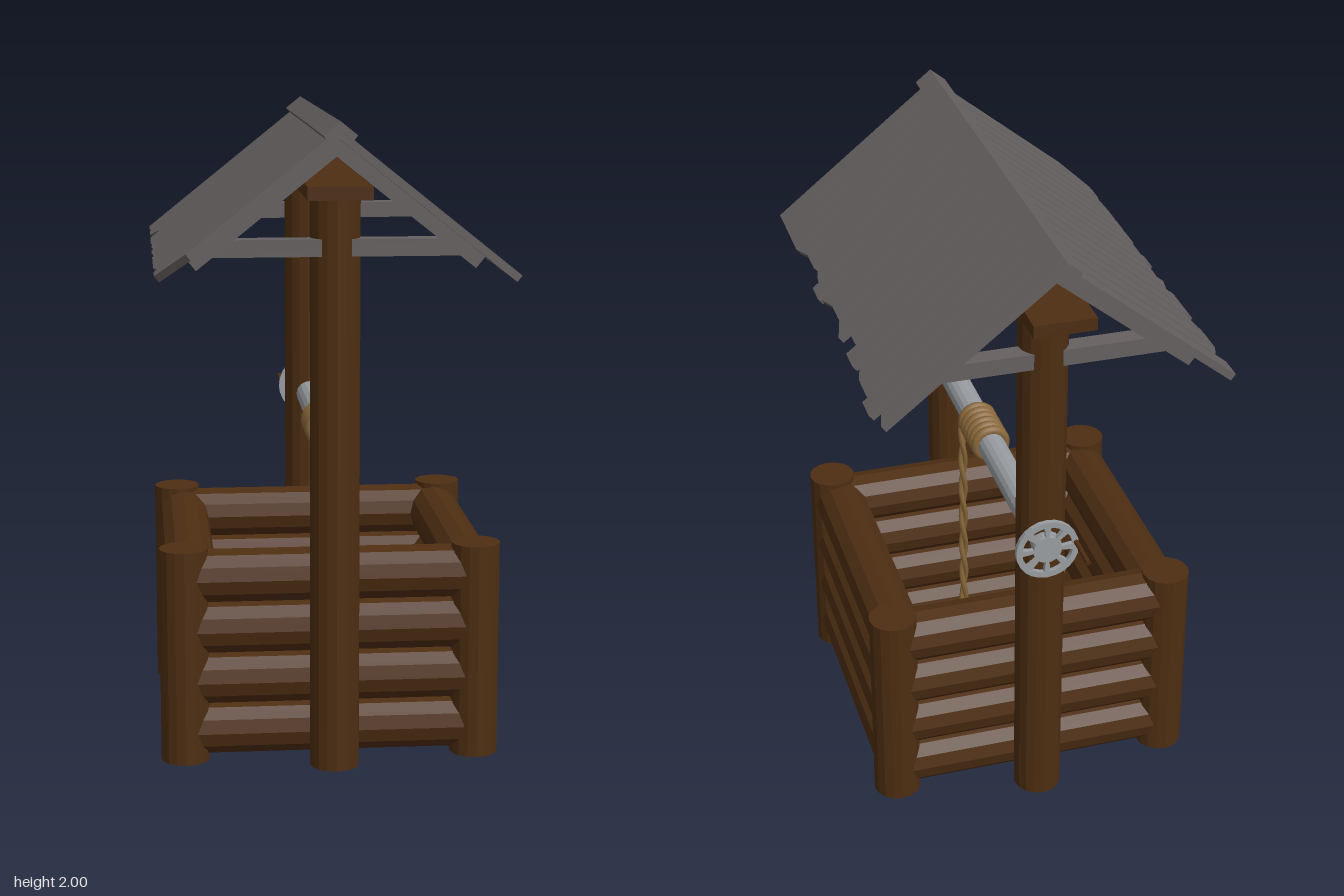
import * as THREE from 'three';

const mat = (color, flat = true) => new THREE.MeshStandardMaterial({ color, flatShading: flat });
const wood = mat(0x4e2e12), slate = mat(0x666160), metal = mat(0x9a9ea2), rope = mat(0x8a683a, false);
const CX = -0.005; // centre line of the well

export function createModel() {
  const root = new THREE.Group();

  const add = (parent, name, geometry, material, x = 0, y = 0, z = 0) => {
    const m = new THREE.Mesh(geometry, material);
    m.name = name;
    m.position.set(x, y, z);
    parent.add(m);
    return m;
  };
  const group = (name, parent = root) => {
    const g = new THREE.Group();
    g.name = name;
    parent.add(g);
    return g;
  };
  const rod = (r, len, axis, sides) => {
    const g = new THREE.CylinderGeometry(r, r, len, sides);
    if (axis === 'x') g.rotateZ(Math.PI / 2);
    if (axis === 'z') g.rotateX(Math.PI / 2);
    return g;
  };

  // Square log wall with a post on each corner
  const wall = group('logWall');
  const midZ = 0.01;
  for (const sx of [-1, 1]) {
    for (const sz of [-1, 1]) {
      add(wall, 'cornerPost', rod(0.076, 0.68, 'y', 16), wood, CX + sx * 0.455, 0.34, midZ + sz * 0.435);
    }
  }
  for (let i = 0; i < 4; i++) {
    const y = 0.096 + i * 0.163;
    for (const s of [-1, 1]) {
      add(wall, 'frontBackLog', rod(0.085, 0.88, 'x', 12), wood, CX, y, midZ + s * 0.415);
      add(wall, 'sideLog', rod(0.085, 0.84, 'z', 12), wood, CX + s * 0.435, y, midZ);
    }
  }

  // Tall posts and the beam lying across them
  const frame = group('frame');
  for (const z of [0.535, -0.525]) add(frame, 'tallPost', rod(0.076, 1.78, 'y', 16), wood, 0, 0.89, z);
  add(frame, 'topBeam', new THREE.BoxGeometry(0.19, 0.04, 1.475), wood, CX, 1.795, 0.017);

  // Winch: axle, coiled rope, hanging rope
  const winch = group('winch');
  const axleY = 0.988;
  add(winch, 'axle', rod(0.045, 1.12, 'z', 16), metal, 0.005, axleY, -0.06);
  for (let i = 0; i < 6; i++) {
    add(winch, 'ropeCoil', new THREE.TorusGeometry(0.05, 0.016, 8, 24), rope, 0.005, axleY, 0.005 + i * 0.032);
  }
  const strand = (phase) => {
    const pts = [];
    for (let i = 0; i <= 48; i++) {
      const a = i * 0.55 + phase;
      pts.push(new THREE.Vector3(0.055 + 0.007 * Math.cos(a), 0.03 + i * 0.02, 0.165 + 0.007 * Math.sin(a)));
    }
    return new THREE.TubeGeometry(new THREE.CatmullRomCurve3(pts), 96, 0.009, 6);
  };
  for (const phase of [0, Math.PI]) add(winch, 'hangingRope', strand(phase), rope);

  // Crank wheel with spokes, and its handle
  const disc = new THREE.Shape().absarc(0, 0, 0.1, 0, Math.PI * 2);
  for (let i = 0; i < 8; i++) {
    const a = (i * Math.PI) / 4 + 0.13, b = ((i + 1) * Math.PI) / 4 - 0.13;
    const hole = new THREE.Path();
    hole.absarc(0, 0, 0.08, a, b, false);
    hole.absarc(0, 0, 0.045, b, a, true);
    hole.closePath();
    disc.holes.push(hole);
  }
  const wheelGeo = new THREE.ExtrudeGeometry(disc, { depth: 0.016, bevelEnabled: false, curveSegments: 12 });
  add(winch, 'crankWheel', wheelGeo, metal, 0.01, axleY, -0.636);
  add(winch, 'crankHandle', rod(0.008, 0.125, 'z', 8), wood, -0.08, 1.002, -0.6925);

  // Roof slope: local u runs down the slope, w along the ridge, depth goes inward
  const pitch = Math.atan(0.8), c = Math.cos(pitch), s = Math.sin(pitch);
  const basis = new THREE.Matrix4().makeBasis(
    new THREE.Vector3(c, -s, 0), new THREE.Vector3(0, 0, 1), new THREE.Vector3(-s, -c, 0));
  const board = (w0, w1, x0, x1, depth) => {
    const shape = new THREE.Shape([
      new THREE.Vector2(0, w0), new THREE.Vector2(x0 / c, w0),
      new THREE.Vector2(x1 / c, w1), new THREE.Vector2(0, w1)]);
    return new THREE.ExtrudeGeometry(shape, { depth, bevelEnabled: false }).applyMatrix4(basis);
  };

  // Ragged plank ends (reach at the back edge, reach at the front edge), from back to front
  const leftEnds = [[53, 51], [54.5, 54.5], [53, 53], [53, 51], [53, 53], [50, 50], [53, 51], [51, 51],
    [51, 53], [53.5, 53.5], [51.5, 50], [51, 51], [51, 53], [53, 53], [53, 53], [53, 53]];
  const rightEnds = [[54, 54], [51, 54], [54, 54], [54, 51], [54, 54], [54, 54], [52, 54], [52, 52],
    [54, 54], [53, 53], [54, 54], [54, 54], [54, 54], [54, 53], [54, 54], [54, 45]];

  const roof = group('roof');
  roof.position.x = CX;
  for (const side of [1, -1]) {
    const slope = group(side > 0 ? 'leftSlope' : 'rightSlope', roof);
    slope.rotation.y = side > 0 ? 0 : Math.PI;
    (side > 0 ? leftEnds : rightEnds).forEach(([back, front], i) => {
      const z = -0.66 + i * 0.09;
      const b = back / 100 - side * CX, f = front / 100 - side * CX;
      const geo = side > 0 ? board(z - 0.04, z + 0.04, b, f, 0.024) : board(-z - 0.04, -z + 0.04, f, b, 0.024);
      add(slope, 'plank', geo, slate, 0, 1.978, 0);
    });
    const zs = [-0.72, 0.755].map((z) => z * side).sort((a, b) => a - b);
    add(slope, 'ridgeCap', board(zs[0], zs[1], 0.05, 0.05, 0.022), slate, 0, 2.0, 0);
    for (const z of [0.6, -0.59]) {
      add(slope, 'rafter', board(z * side - 0.04, z * side + 0.04, 0.44, 0.44, 0.044), slate, 0, 1.948, 0);
    }
  }
  for (const z of [0.565, -0.555]) {
    add(roof, 'tieBeam', new THREE.BoxGeometry(0.8, 0.052, 0.06), slate, 0, 1.62, z);
  }
  return root;
}
